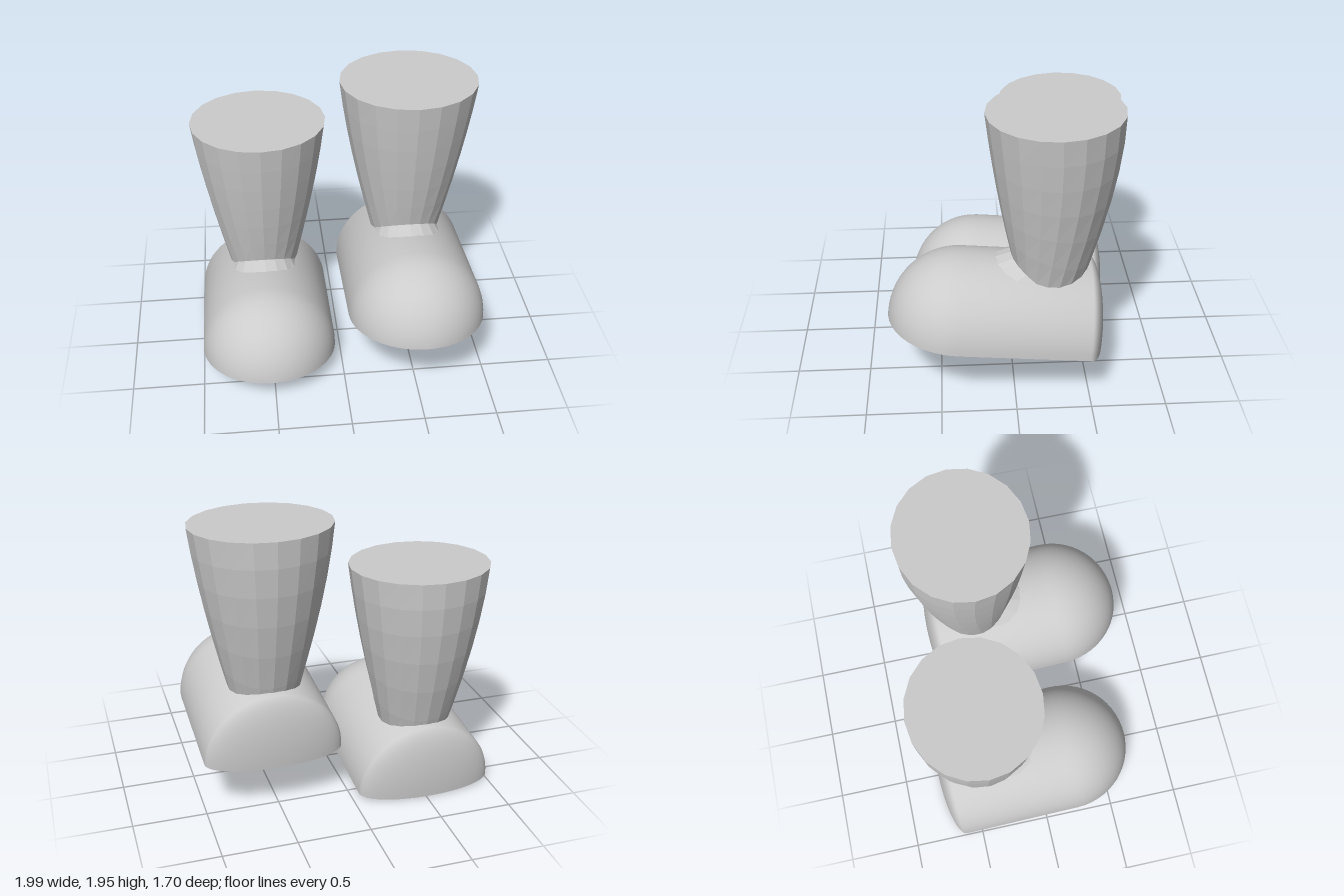
import * as THREE from 'three';
import { toCreasedNormals } from 'three/addons/utils/BufferGeometryUtils.js';

// Skin a list of closed rings, each an array of [x, y, z]
function loft(rings) {
  const n = rings[0].length;
  const index = [];
  for (let i = 0; i < rings.length - 1; i++) {
    for (let j = 0; j < n; j++) {
      const k = (j + 1) % n;
      const a = i * n + j, b = i * n + k, c = a + n, d = b + n;
      index.push(a, c, b, b, c, d);
    }
  }
  const geometry = new THREE.BufferGeometry();
  geometry.setAttribute('position', new THREE.Float32BufferAttribute(rings.flat(2), 3));
  geometry.setIndex(index);
  return geometry;
}

// Rounded shoe: domed toe, half-round body, shallow heel bulge, flat sole
function footGeometry() {
  const R = 0.477, length = 0.858, heelDepth = 0.122, steps = 14, sides = 36;
  const arch = (z, r, y = 0) => Array.from({ length: sides + 1 }, (_, j) => {
    const t = Math.PI * j / sides;
    return [r * Math.cos(t), y + r * Math.sin(t), z];
  });
  const rings = [];
  for (let i = 0; i <= steps; i++) {
    const a = Math.PI / 2 * (1 - i / steps);
    rings.push(arch(R * Math.sin(a), R * Math.cos(a)));
  }
  for (let i = 0; i <= steps; i++) {
    const b = Math.PI / 2 * i / steps;
    const depth = heelDepth * Math.sin(b);
    rings.push(arch(-length - depth, R * Math.cos(b), -0.24 * depth));
  }
  return toCreasedNormals(loft(rings), 0.6);
}

// Tapering leg with a tilted ankle that flares forward onto the instep
function legGeometry() {
  const sides = 20;
  // centre z, centre y, half width, half depth, rise of the front edge
  const ring = ([z, y, rx, rz, rise]) => Array.from({ length: sides }, (_, j) => {
    const t = 2 * Math.PI * j / sides;
    return [rx * Math.sin(t), y + rise * Math.cos(t), z + rz * Math.cos(t)];
  });
  const top = [-0.265, 1.948, 0.477, 0.445, -0.0075];
  const middle = [-0.265, 1.4, 0.388, 0.375, 0.03];
  const ankle = [-0.2075, 0.775, 0.24, 0.2225, 0.165];
  const instep = [-0.04, 0.66, 0.33, 0.3, 0.2];
  const rings = [ring([top[0], top[1], 0, 0, 0])];
  for (let i = 0; i <= 6; i++) {
    const t = i / 6;
    rings.push(ring(top.map((p, k) =>
      p * (1 - t) * (1 - 2 * t) + middle[k] * 4 * t * (1 - t) + ankle[k] * t * (2 * t - 1))));
  }
  rings.push(ring(instep));
  return loft(rings);
}

export function createModel() {
  const model = new THREE.Group();
  model.name = 'bootPair';
  const smooth = new THREE.MeshStandardMaterial({ color: 0xcccccc });
  const faceted = new THREE.MeshStandardMaterial({ color: 0xcccccc, flatShading: true });
  const footShape = footGeometry();
  const legShape = legGeometry();

  function boot(name, x, y, z) {
    const group = new THREE.Group();
    group.name = name;
    const foot = new THREE.Mesh(footShape, smooth);
    foot.name = 'foot';
    foot.position.set(0, 0.45, 0.375);
    foot.rotation.x = -0.087; // toe raised
    const leg = new THREE.Mesh(legShape, faceted);
    leg.name = 'leg';
    group.add(foot, leg);
    group.position.set(x, y, z);
    model.add(group);
  }

  boot('leftBoot', 0.52, 0, 0);
  boot('rightBoot', -0.52, -0.333, -0.138);
  return model;
}
